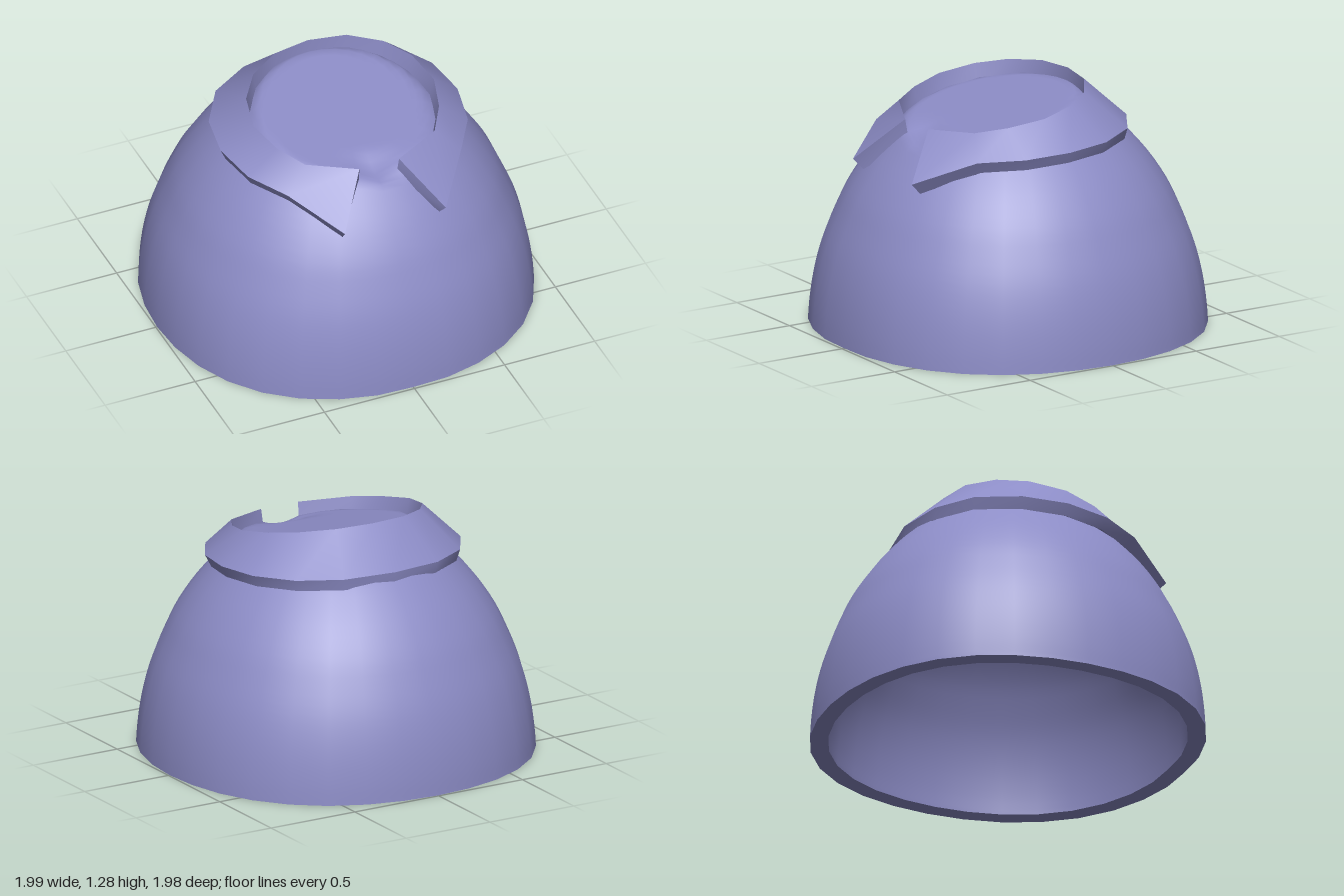
import * as THREE from 'three';
import { toCreasedNormals } from 'three/addons/utils/BufferGeometryUtils.js';

const material = new THREE.MeshStandardMaterial({ color: 0x8c8cc6 });

// Hollow dome with a tilted flat top: a lathe whose tops are cut by slanted planes
function domeGeometry() {
  const outer = new THREE.SplineCurve([
    [0.993, 0], [0.988, 0.1], [0.975, 0.22], [0.953, 0.34], [0.92, 0.46], [0.87, 0.59], [0.81, 0.72],
    [0.72, 0.86], [0.615, 0.985], [0.54, 1.06], [0.44, 1.145], [0.34, 1.23], [0.2, 1.32], [0, 1.36],
  ].map(([r, y]) => new THREE.Vector2(r, y))).getPoints(39);
  outer[outer.length - 1].x = 0;
  const inner = outer.map((p) => new THREE.Vector2(p.x * 0.907, p.y * 0.92)).reverse();
  const geometry = new THREE.LatheGeometry([...inner, ...outer], 32);
  const pos = geometry.attributes.position;
  const stride = inner.length + outer.length;
  for (let i = 0; i < pos.count; i++) {
    const isInner = i % stride < inner.length;
    let x = pos.getX(i), y = pos.getY(i), z = pos.getZ(i);
    // Slightly squarish plan towards the foot, with a faint groove down the front
    const diagonal = Math.sin(2 * Math.atan2(x, z)) ** 2;
    const groove = z > 0.3 && Math.abs(x) < 0.01 ? 0.007 : 0;
    const swell = 1 + 0.03 * diagonal * Math.max(0, 1 - y / 1.3) - groove;
    x *= swell;
    z *= swell;
    // Flat top, dipping into the notch of the collar
    const dip = 0.05 * Math.exp(-((x / 0.09) ** 2)) * THREE.MathUtils.smoothstep(z, 0.36, 0.5);
    const top = (isInner ? 1.06 : 1.16) - 0.176 * z - dip;
    pos.setXYZ(i, x, Math.min(y, top), z);
  }
  return toCreasedNormals(geometry, 0.9);
}

// Open collar: a four-sided section swept round the neck, its ends forming a front notch
function collarGeometry() {
  // Half of the collar from the back to the front tip: inner x, z, outer x, z, outer y
  const half = [
    [0, -0.36, 0, -0.58, 1.08],
    [0.2, -0.33, 0.28, -0.535, 1.075],
    [0.36, -0.23, 0.49, -0.41, 1.07],
    [0.46, -0.09, 0.62, -0.2, 1.06],
    [0.5, 0.1, 0.657, 0.04, 1.05],
    [0.45, 0.28, 0.61, 0.28, 1.035],
    [0.36, 0.43, 0.48, 0.49, 1.02],
    [0.11, 0.55, 0.28, 0.757, 0.9],
  ];
  const mirrored = half.slice(1).reverse().map(([a, b, c, d, e]) => [-a, b, -c, d, e]);
  const sections = [...mirrored, ...half].map(([ix, iz, ox, oz, oy]) => {
    const rim = 1.217 - 0.176 * iz;
    return [
      [ix, rim, iz],
      [ox, oy, oz],
      [ox * 0.96, oy - 0.06, oz * (oz < 0 ? 0.985 : 0.925)],
      [ix * 0.94, rim - 0.13, iz * (iz < 0 ? 1 : 0.96)],
    ];
  });
  const positions = [];
  const quad = (a, b, c, d) => positions.push(...a, ...b, ...c, ...a, ...c, ...d);
  for (let i = 0; i < sections.length - 1; i++) {
    const s = sections[i], t = sections[i + 1];
    for (let k = 0; k < 4; k++) {
      const n = (k + 1) % 4;
      quad(s[k], t[k], t[n], s[n]);
    }
  }
  // Notch faces
  const first = sections[0], last = sections[sections.length - 1];
  quad(first[0], first[1], first[2], first[3]);
  quad(last[3], last[2], last[1], last[0]);
  const geometry = new THREE.BufferGeometry();
  geometry.setAttribute('position', new THREE.Float32BufferAttribute(positions, 3));
  return toCreasedNormals(geometry, 0.6);
}

export function createModel() {
  const model = new THREE.Group();
  const add = (name, geometry, mat) => {
    const mesh = new THREE.Mesh(geometry, mat);
    mesh.name = name;
    model.add(mesh);
  };
  add('dome', domeGeometry(), material);
  const collarMaterial = material.clone();
  collarMaterial.side = THREE.DoubleSide;
  add('collar', collarGeometry(), collarMaterial);
  return model;
}
